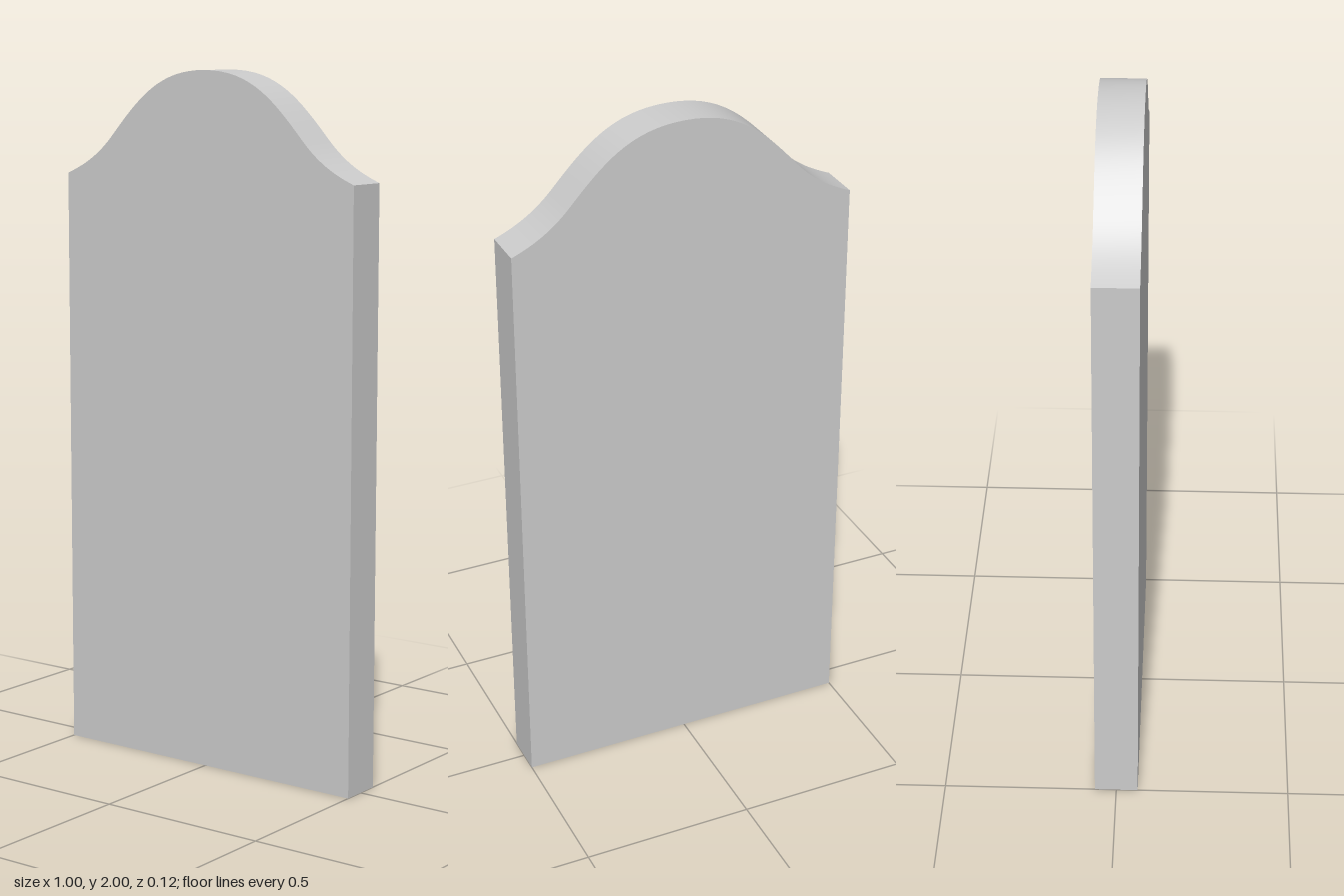
import * as THREE from 'three';
import { toCreasedNormals } from 'three/addons/utils/BufferGeometryUtils.js';

const HALF_WIDTH = 0.5;
const DEPTH = 0.125;
const SHOULDER = 1.7;

export function createModel() {
  const group = new THREE.Group();
  group.name = 'headstone';

  // Slab outline: straight sides and base, with an S-curved crown
  const outline = new THREE.Shape();
  outline.moveTo(-HALF_WIDTH, 0);
  outline.lineTo(HALF_WIDTH, 0);
  outline.lineTo(HALF_WIDTH, SHOULDER);
  outline.bezierCurveTo(0.445, 1.722, 0.39, 1.75, 0.335, 1.81);
  outline.bezierCurveTo(0.235, 1.92, 0.16, 2, 0, 2);
  outline.bezierCurveTo(-0.16, 2, -0.235, 1.92, -0.335, 1.81);
  outline.bezierCurveTo(-0.39, 1.75, -0.445, 1.722, -HALF_WIDTH, SHOULDER);
  outline.closePath();

  const geometry = new THREE.ExtrudeGeometry(outline, {
    depth: DEPTH,
    bevelEnabled: false,
    curveSegments: 16,
  });
  geometry.translate(0, 0, -DEPTH / 2);

  // Smooth crown, sharp slab edges
  const slab = new THREE.Mesh(
    toCreasedNormals(geometry, 0.5),
    new THREE.MeshStandardMaterial({ color: 0xcccccc })
  );
  slab.name = 'slab';
  group.add(slab);

  return group;
}
